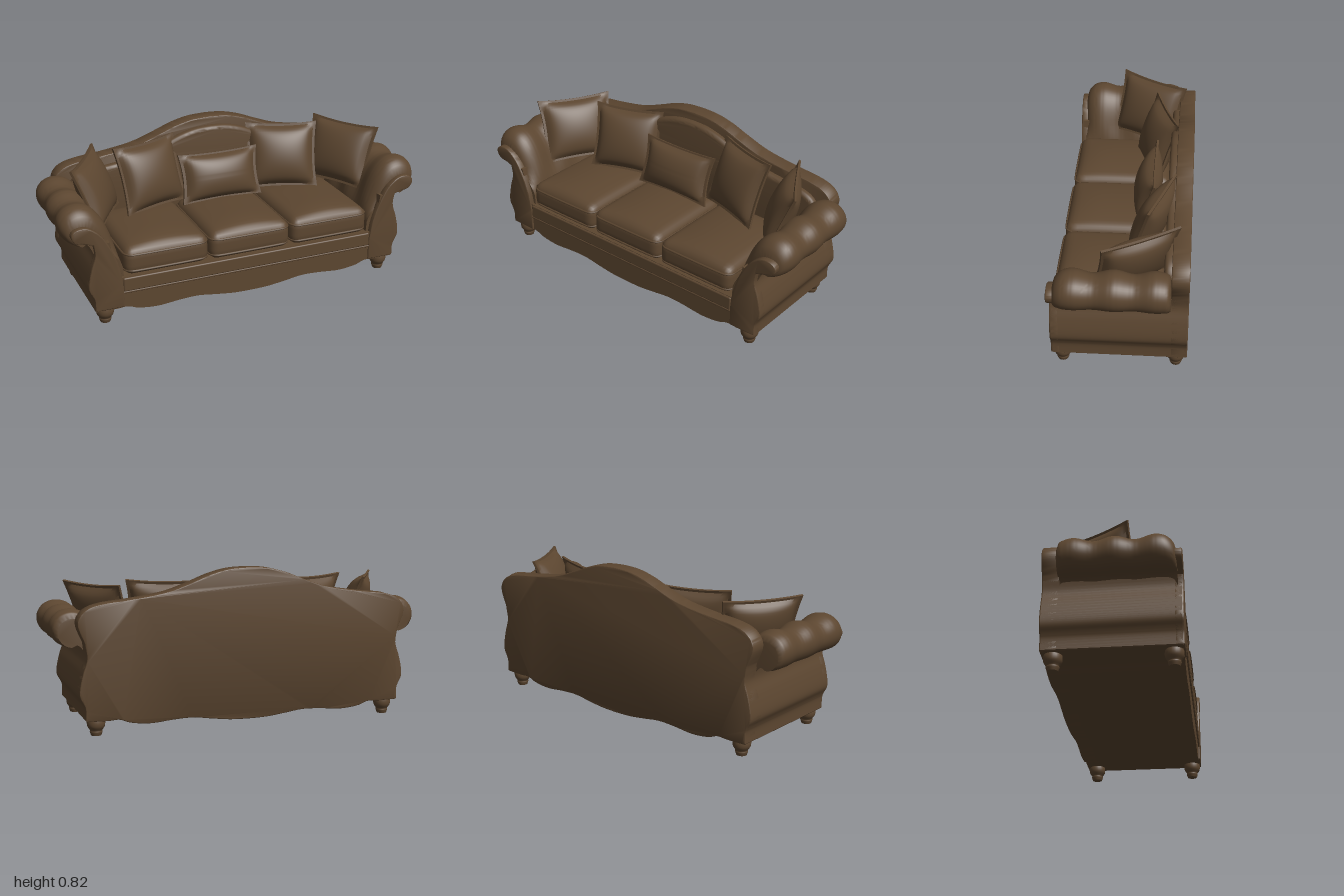
import * as THREE from 'three';
import { toCreasedNormals } from 'three/addons/utils/BufferGeometryUtils.js';
import { RoundedBoxGeometry } from 'three/addons/geometries/RoundedBoxGeometry.js';

const leather = new THREE.MeshStandardMaterial({ color: 0x5c4630 });
leather.name = 'brown leather';

const v2 = ([x, y]) => new THREE.Vector2(x, y);
const smooth = (pts, n = 30) => new THREE.SplineCurve(pts.map(v2)).getPoints(n);
const mirrorOutline = (half) => new THREE.Shape([
  ...half,
  ...half.slice().reverse().map((p) => new THREE.Vector2(-p.x, p.y)),
]);

function addMesh(parent, name, geometry) {
  const mesh = new THREE.Mesh(geometry, leather);
  mesh.name = name;
  parent.add(mesh);
  return mesh;
}

// Extrudes a shape between two z planes; bevel stays inside the range
function slab(shape, z0, z1, bevel = 0) {
  const geo = new THREE.ExtrudeGeometry(shape, {
    depth: z1 - z0 - 2 * bevel, bevelEnabled: bevel > 0, bevelThickness: bevel,
    bevelSize: bevel, bevelOffset: -bevel, bevelSegments: 4,
  });
  geo.translate(0, 0, z0 + bevel);
  return toCreasedNormals(geo, 0.6);
}

// Half outlines, from the centre outwards
const apron = smooth([[0.001, 0.035], [0.1, 0.038], [0.2, 0.05], [0.3, 0.063], [0.4, 0.06],
  [0.52, 0.05], [0.62, 0.06], [0.68, 0.08], [0.74, 0.078], [0.845, 0.08]], 50);
const waist = smooth([[0.85, 0.085], [0.85, 0.14], [0.86, 0.17], [0.877, 0.205], [0.876, 0.25],
  [0.86, 0.32], [0.838, 0.39], [0.845, 0.45]], 30);
const crest = [[0.88, 0.55], [0.872, 0.6], [0.83, 0.64], [0.75, 0.663], [0.6, 0.68], [0.43, 0.708],
  [0.3, 0.752], [0.2, 0.79], [0.1, 0.814], [0.001, 0.82]];

// Arm padding: one rolled section, swept along z with soft bulges and a rounded front
function armGeometry() {
  const section = new THREE.Shape(smooth([[0.69, 0.24], [0.7, 0.34], [0.73, 0.45], [0.775, 0.55],
    [0.83, 0.61], [0.895, 0.628], [0.955, 0.61], [0.99, 0.565], [0.992, 0.51], [0.96, 0.46],
    [0.905, 0.441], [0.86, 0.45], [0.82, 0.4], [0.81, 0.24]], 60));
  const z0 = -0.25, z1 = 0.31;
  const geo = new THREE.ExtrudeGeometry(section, { depth: z1 - z0, steps: 56, bevelEnabled: false });
  geo.translate(0, 0, z0);
  const p = geo.attributes.position;
  const round = (d, r) => 1 - Math.sqrt(1 - (1 - Math.min(1, Math.max(0, d / r))) ** 2);
  for (let i = 0; i < p.count; i++) {
    const x = p.getX(i), y = p.getY(i), z = p.getZ(i);
    const w = THREE.MathUtils.smoothstep(y, 0.3, 0.46);
    const bulge = 0.06 * (Math.cos((z - 0.215) * Math.PI * 2 / 0.195) - 1);
    const s = 1 + w * (bulge - 0.4 * round(z1 - z, 0.06) - 0.15 * round(z - z0, 0.02));
    p.setX(i, 0.88 + (x - 0.88) * s);
    p.setY(i, 0.46 + (y - 0.46) * (y > 0.46 ? s : 1));
  }
  return toCreasedNormals(geo, 0.7);
}

// Throw pillow: puffed centre, flat flange, corners drawn outwards
function pillowGeometry(w, h, t) {
  const geo = new THREE.BoxGeometry(2, 2, 2, 28, 28, 1);
  const p = geo.attributes.position;
  const inner = (a) => Math.max(0, 1 - (a / 0.88) ** 2);
  for (let i = 0; i < p.count; i++) {
    const u = p.getX(i), v = p.getY(i), side = Math.sign(p.getZ(i));
    const puff = Math.pow(inner(u) * inner(v), 0.42);
    p.setXYZ(i, u * w / 2 * (1 - 0.07 * (1 - v * v)), v * h / 2 * (1 - 0.07 * (1 - u * u)),
      side * (0.006 + puff * t / 2));
  }
  return toCreasedNormals(geo, 0.7);
}

// Piping that follows the rim of a seat cushion
function pipingGeometry(w, d, y) {
  const r = 0.045, a = w / 2, b = d / 2, pts = [];
  for (const [sx, sz, start] of [[1, 1, 0], [-1, 1, 1], [-1, -1, 2], [1, -1, 3]]) {
    for (let k = 0; k <= 5; k++) {
      const t = (start + k / 5) * Math.PI / 2;
      pts.push(new THREE.Vector3(sx * (a - r) + r * Math.cos(t), y, sz * (b - r) + r * Math.sin(t)));
    }
  }
  return new THREE.TubeGeometry(new THREE.CatmullRomCurve3(pts, true, 'centripetal'), 100, 0.006, 6, true);
}

export function createModel() {
  const sofa = new THREE.Group();
  sofa.name = 'sofa';

  // Base with scalloped apron and waisted sides
  const baseHalf = [...apron, ...waist, ...[[0.76, 0.45], [0.73, 0.245], [0.001, 0.245]].map(v2)];
  addMesh(sofa, 'base', slab(mirrorOutline(baseHalf), -0.33, 0.328));
  const rail = new RoundedBoxGeometry(1.4, 0.075, 0.03, 3, 0.008);
  addMesh(sofa, 'frontRail', rail).position.set(0, 0.205, 0.321);
  const ledge = new RoundedBoxGeometry(1.48, 0.012, 0.02, 2, 0.005);
  addMesh(sofa, 'railMoulding', ledge).position.set(0, 0.163, 0.325);

  // Camel back and its inner padding
  const backHalf = [...apron, ...waist, ...smooth([[0.848, 0.47], ...crest], 50)];
  addMesh(sofa, 'back', slab(mirrorOutline(backHalf), -0.336, -0.25, 0.006));
  const padHalf = [...[[0.001, 0.24], [0.76, 0.24]].map(v2),
    ...smooth(crest.map(([x, y]) => [x * 0.92, y - 0.045]), 50)];
  addMesh(sofa, 'backPadding', slab(mirrorOutline(padHalf), -0.27, -0.212, 0.022));

  // Arms, scrolled front panels and feet
  const arm = armGeometry();
  const panelShape = new THREE.Shape([...waist,
    ...smooth([[0.88, 0.462], [0.925, 0.47], [0.95, 0.5], [0.945, 0.53], [0.91, 0.547],
      [0.86, 0.54], [0.8, 0.49], [0.75, 0.4], [0.715, 0.3], [0.7, 0.2]], 40),
    ...[[0.7, 0.085]].map(v2)]);
  const panel = slab(panelShape, 0.29, 0.337, 0.006);
  const foot = new THREE.LatheGeometry(smooth([[0.026, 0], [0.032, 0.018], [0.031, 0.026],
    [0.043, 0.045], [0.046, 0.065], [0.043, 0.085]], 16), 24);
  const footBottom = new THREE.CircleGeometry(0.026, 24).rotateX(Math.PI / 2);
  for (const side of [1, -1]) {
    const half = new THREE.Group();
    half.name = side > 0 ? 'leftSide' : 'rightSide';
    half.scale.x = side;
    addMesh(half, 'arm', arm);
    addMesh(half, 'armFront', panel);
    for (const z of [0.285, -0.28]) {
      addMesh(half, 'foot', foot).position.set(0.79, 0, z);
      addMesh(half, 'footBottom', footBottom).position.set(0.79, 0.001, z);
    }
    sofa.add(half);
  }

  // Seat cushions with crowned tops and piping
  const w = 0.452, d = 0.54;
  const cushion = new RoundedBoxGeometry(w, 0.145, d, 8, 0.045);
  const box = new THREE.BoxGeometry(w, 0.145, d, 24, 8, 24);
  const p = box.attributes.position, c = new THREE.Vector3(), q = new THREE.Vector3();
  for (let i = 0; i < p.count; i++) {
    // round the edges, then raise the crown
    q.fromBufferAttribute(p, i);
    c.set(THREE.MathUtils.clamp(q.x, -w / 2 + 0.045, w / 2 - 0.045),
      THREE.MathUtils.clamp(q.y, -0.0275, 0.0275),
      THREE.MathUtils.clamp(q.z, -d / 2 + 0.045, d / 2 - 0.045));
    q.sub(c).normalize().multiplyScalar(0.045).add(c);
    const crown = (1 - (2 * q.x / w) ** 2) * (1 - (2 * q.z / d) ** 4);
    if (q.y > 0) q.y += 0.032 * Math.max(0, crown) * q.y / 0.0725;
    p.setXYZ(i, q.x, q.y, q.z);
  }
  cushion.dispose();
  const cushionGeo = toCreasedNormals(box, 1.2);
  for (const x of [-0.46, 0, 0.46]) {
    const seat = new THREE.Group();
    seat.name = 'seatCushion';
    seat.position.set(x, 0.316, 0.06);
    addMesh(seat, 'cushion', cushionGeo);
    for (const y of [-0.045, 0.042]) addMesh(seat, 'piping', pipingGeometry(w - 0.006, d - 0.006, y));
    sofa.add(seat);
  }

  // Throw pillows: [name, width, height, thickness, x, y, z, turn, tilt]
  const pillows = [['centrePillow', 0.46, 0.27, 0.13, 0, 0.535, -0.1, 0, -0.3]];
  for (const s of [1, -1]) {
    pillows.push(['middlePillow', 0.4, 0.37, 0.14, s * 0.385, 0.582, -0.135, -s * 0.33, -0.32]);
    pillows.push(['outerPillow', 0.42, 0.36, 0.13, s * 0.71, 0.578, -0.07, -s * 1.04, -0.38]);
  }
  for (const [name, pw, ph, t, x, y, z, turn, tilt] of pillows) {
    const mesh = addMesh(sofa, name, pillowGeometry(pw, ph, t));
    mesh.position.set(x, y, z);
    mesh.rotation.set(tilt, turn, 0, 'YXZ');
  }
  return sofa;
}
